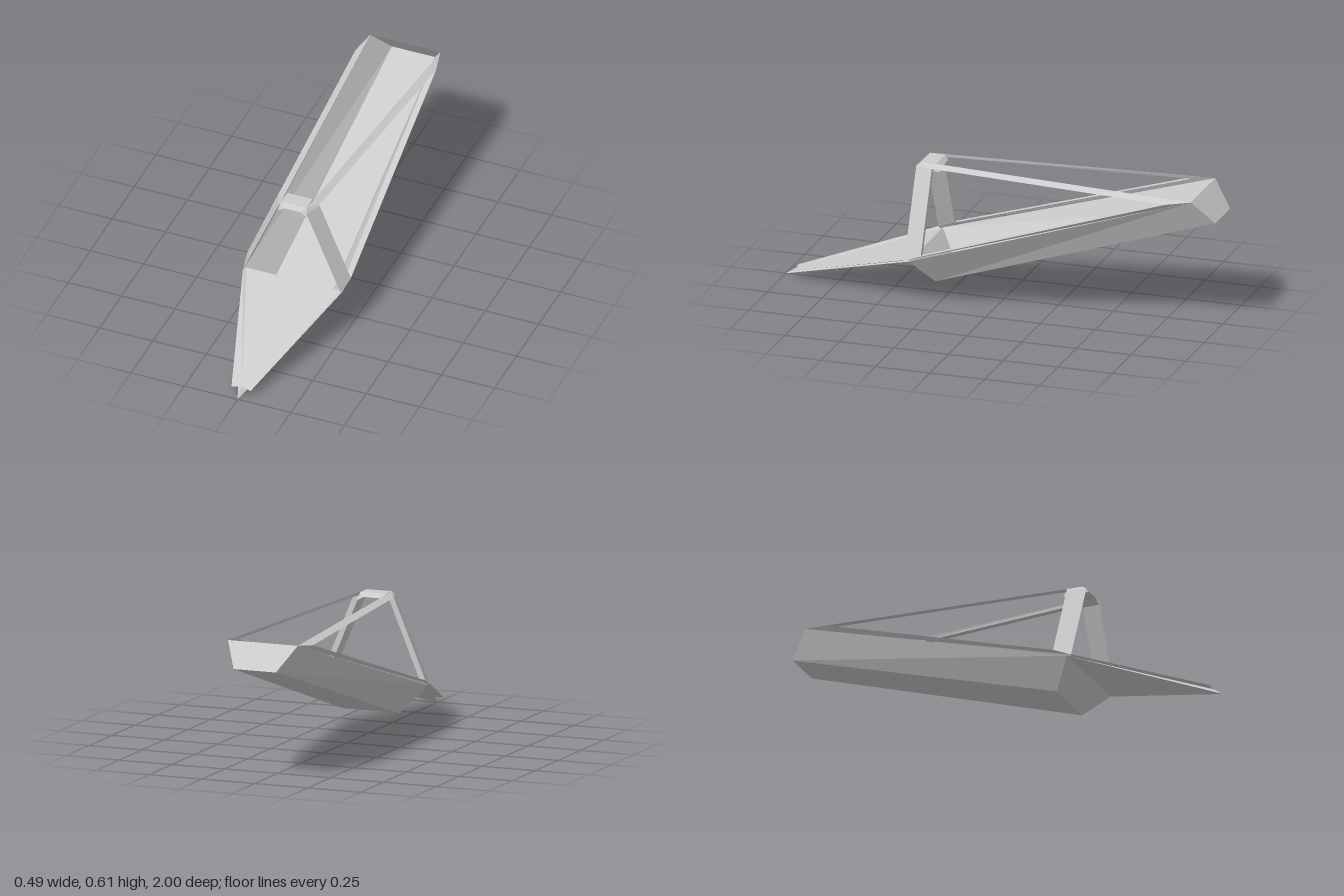
import * as THREE from 'three';

const material = new THREE.MeshStandardMaterial({
  color: 0xcccccc, flatShading: true, side: THREE.DoubleSide,
});

// Mesh from polygon faces; each face is a list of [x, y, z] corners
function panels(name, faces) {
  const pos = [];
  for (const f of faces) {
    for (let i = 1; i < f.length - 1; i++) pos.push(...f[0], ...f[i], ...f[i + 1]);
  }
  const geo = new THREE.BufferGeometry();
  geo.setAttribute('position', new THREE.Float32BufferAttribute(pos, 3));
  geo.computeVertexNormals();
  const mesh = new THREE.Mesh(geo, material);
  mesh.name = name;
  return mesh;
}

const flip = ([x, y, z]) => [-x, y, z];
const mirrorFaces = (faces) => faces.map((f) => f.map(flip).reverse());

// Quads joining two closed outlines of equal length
const band = (a, b) => a.map((p, i) => {
  const j = (i + 1) % a.length;
  return [p, a[j], b[j], b[i]];
});

export function createModel() {
  const model = new THREE.Group();
  model.name = 'canopiedHull';

  // Open tub: four sloping walls and a floor
  const rim = [[0.23, 0.207, 0.36], [0.165, 0.605, -0.91], [-0.165, 0.605, -0.91], [-0.23, 0.207, 0.36]];
  const floor = [[0.135, 0.094, 0.27], [0.1, 0.498, -1], [-0.1, 0.498, -1], [-0.135, 0.094, 0.27]];
  model.add(panels('hull', [...band(floor, rim), [...floor].reverse()]));

  // Pointed nose: deck, underside and thin sides
  const tip = [0, 0, 1], deckTip = [0, 0.033, 0.95];
  const deckL = [0.217, 0.207, 0.37], deckR = flip(deckL);
  const side = [[rim[0], tip, deckTip, deckL]];
  model.add(panels('nose', [
    [deckR, deckTip, deckL], [rim[0], tip, rim[3]], ...side, ...mirrorFaces(side),
  ]));

  // Flat strips along the nose edges
  const strip = [[deckL, deckTip, [0.045, 0.03, 0.96], [0.23, 0.211, 0.38]]];
  model.add(panels('leftNoseStrip', strip), panels('rightNoseStrip', mirrorFaces(strip)));

  // Triangular side frames: outer outline, raised window edge, inner window edge
  const outer = [[0.23, 0.209, 0.38], [0.165, 0.605, -0.91], [0.06, 0.61, 0.36], [0.067, 0.593, 0.38]];
  const raised = [[0.243, 0.241, 0.3], [0.189, 0.59, -0.8], [0.095, 0.595, 0.295], [0.096, 0.592, 0.3]];
  const inner = raised.map(([x, y, z]) => [x - 0.027, y, z]);
  const frame = [...band(outer, raised), ...band(raised, inner), ...band(inner, outer)];
  model.add(panels('leftWindowFrame', frame), panels('rightWindowFrame', mirrorFaces(frame)));

  // Arched crossbar with a bevelled front edge
  const arch = [[0.06, 0.61], [0.069, 0.575], [0.035, 0.593], [-0.035, 0.593], [-0.069, 0.575], [-0.06, 0.61]];
  const front = arch.map(([x, y]) => [x, y, y > 0.6 ? 0.36 : 0.378]);
  const back = arch.map(([x, y]) => [x, y, y > 0.6 ? 0.29 : 0.27]);
  const ends = (p) => [[p[0], p[1], p[2]], [p[0], p[2], p[3], p[5]], [p[3], p[4], p[5]]];
  model.add(panels('crossbar', [
    ...band(back, front), ...ends(back), ...ends(front).map((f) => f.reverse()),
  ]));

  return model;
}
